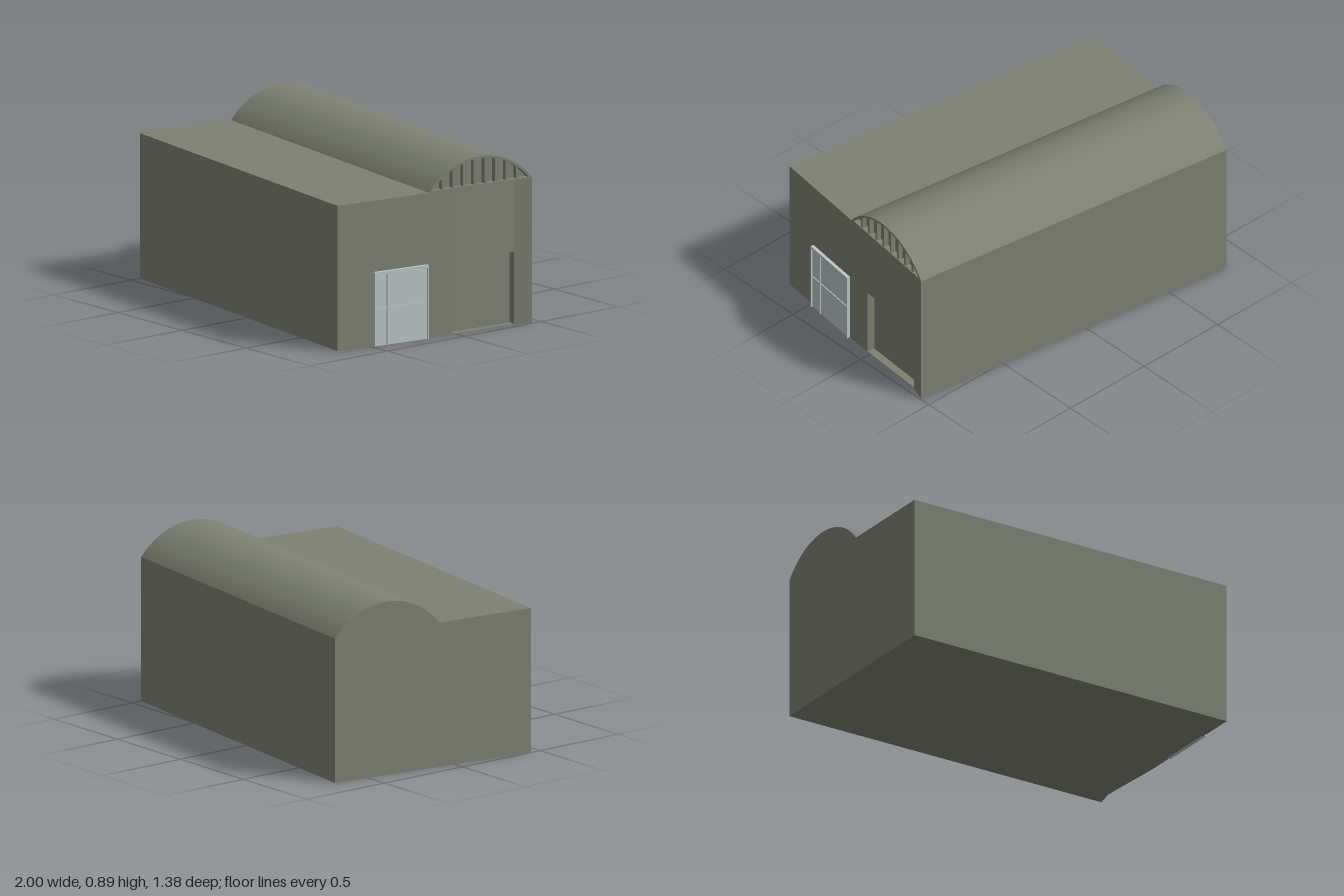
import * as THREE from 'three';
import { toCreasedNormals } from 'three/addons/utils/BufferGeometryUtils.js';

export function createModel() {
  const model = new THREE.Group();
  model.name = 'hall';
  // The whole hall stands slightly turned on its plot
  model.rotation.y = -THREE.MathUtils.degToRad(7.7);

  const wall = new THREE.MeshStandardMaterial({ color: 0x7d8072 });
  wall.name = 'olive grey wall';
  const glass = new THREE.MeshStandardMaterial({ color: 0xbac5c3 });
  glass.name = 'pale door glass';

  const add = (name, geometry, material) => {
    const mesh = new THREE.Mesh(geometry, material);
    mesh.name = name;
    model.add(mesh);
    return mesh;
  };
  const box = (name, x0, x1, y0, y1, z0, z1, material) => {
    const mesh = add(name, new THREE.BoxGeometry(x1 - x0, y1 - y0, z1 - z0), material);
    mesh.position.set((x0 + x1) / 2, (y0 + y1) / 2, (z0 + z1) / 2);
  };

  const X = 0.93, Z = 0.572, EAVES = 0.745;

  // Walls: a plan of [x, z] points raised between two heights
  const storey = (name, plan, y0, y1) => {
    const shape = new THREE.Shape(plan.map(([x, z]) => new THREE.Vector2(x, -z)));
    const g = new THREE.ExtrudeGeometry(shape, { depth: y1 - y0, bevelEnabled: false });
    g.rotateX(-Math.PI / 2);
    g.translate(0, y0, 0);
    add(name, g, wall);
  };
  const front = [[-X, Z], [X, Z], [X, -0.105]];
  const back = [[0.908, -0.479], [X, -Z], [-X, -Z]];
  const notch = [[0.888, -0.105], [0.868, -0.479]];
  storey('floorSlab', [...front, ...back], 0, 0.004);
  storey('lowerWalls', [...front, ...notch, ...back], 0.004, 0.375);
  storey('upperWalls', [...front, ...back], 0.375, EAVES);

  // Barrel vault over the rear half of the roof
  const HALF = 0.304, RISE = 0.15, MID = -0.268;
  const R = (HALF * HALF + RISE * RISE) / (2 * RISE);
  const centreY = EAVES + RISE - R;
  const segment = (Type, radius, base) => {
    const a = Math.asin((base - centreY) / radius);
    const p = new Type();
    p.absarc(-MID, centreY, radius, a, Math.PI - a, false);
    p.closePath();
    return p;
  };
  const vault = (name, shape, x0, x1) => {
    let g = new THREE.ExtrudeGeometry(shape, { depth: x1 - x0, bevelEnabled: false, curveSegments: 40 });
    g = toCreasedNormals(g, 0.4);
    g.rotateY(Math.PI / 2);
    g.translate(x0, 0, 0);
    add(name, g, wall);
  };
  const END = 0.9, INNER = R - 0.012, SILL = EAVES + 0.007;
  vault('vaultRoof', segment(THREE.Shape, R, EAVES), -X, END);
  const rim = segment(THREE.Shape, R, EAVES);
  rim.holes.push(segment(THREE.Path, INNER, SILL));
  vault('vaultEndRim', rim, END, X);

  // Upright bars in the recessed arch
  for (let i = 0; i < 8; i++) {
    const dz = (i - 3.5) * 0.0625;
    const top = centreY + Math.sqrt(INNER * INNER - dz * dz) + 0.003;
    box('archBar', END, X - 0.004, SILL, top, MID + dz - 0.006, MID + dz + 0.006, wall);
  }

  // Projecting glazed door with frame and glazing bars
  const z0 = 0.046, z1 = 0.364, H = 0.38, D = X + 0.018;
  box('doorGlass', X - 0.01, D - 0.008, 0, H - 0.01, z0 + 0.004, z1 - 0.004, glass);
  box('doorHead', X - 0.01, D, H - 0.014, H, z0, z1, glass);
  for (const [a, b] of [[z0, z0 + 0.006], [z1 - 0.006, z1], [0.284, 0.29]]) {
    box('doorUpright', X - 0.01, D, 0, H - 0.014, a, b, glass);
  }
  box('doorCrossBar', X - 0.01, D - 0.003, 0.187, 0.193, z0, z1, glass);

  const root = new THREE.Group();
  root.name = 'building';
  root.add(model);
  return root;
}
